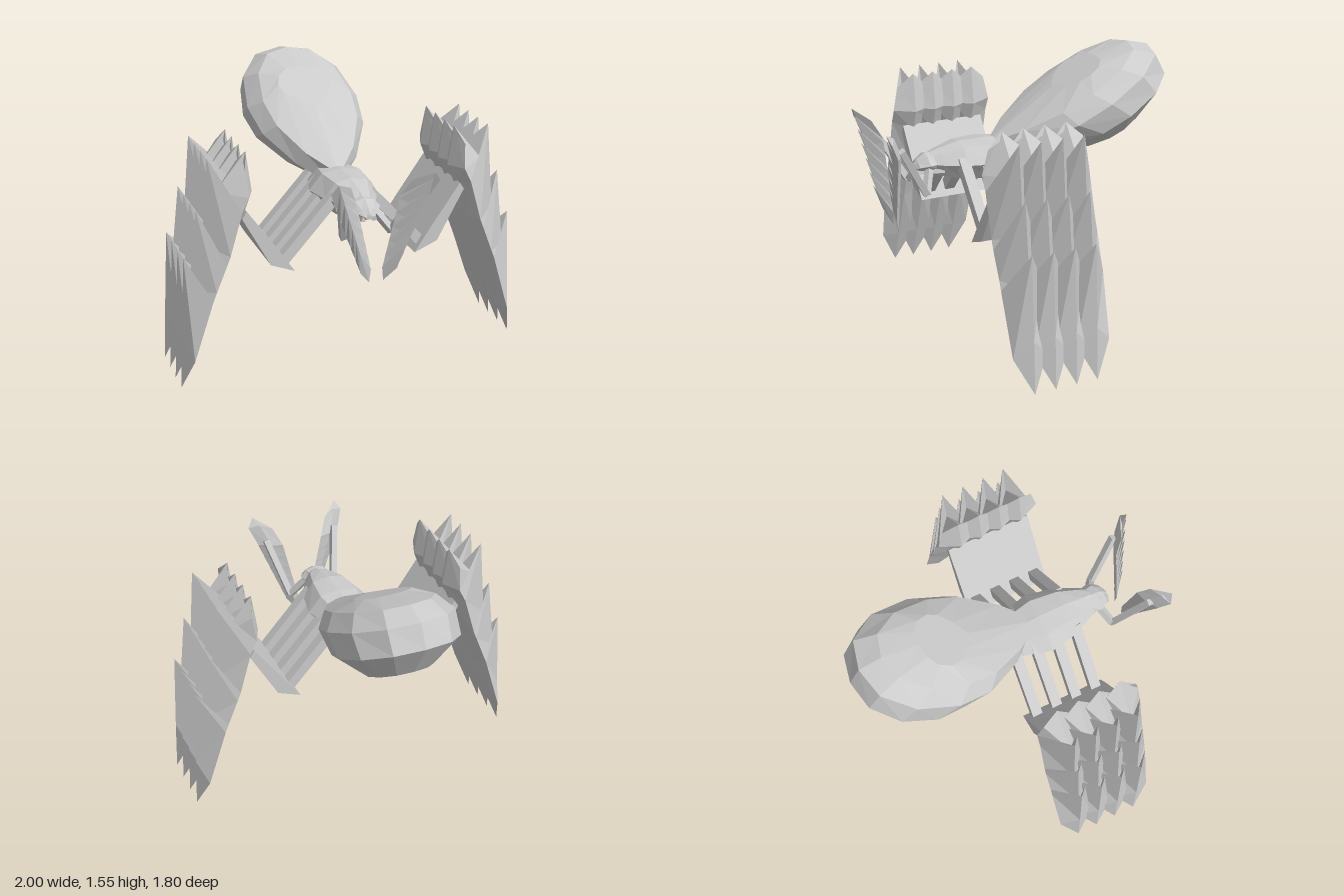
import * as THREE from 'three';

const material = new THREE.MeshStandardMaterial({ color: 0xcccccc, flatShading: true, side: THREE.DoubleSide });

function add(parent, name, geometry) {
  const mesh = new THREE.Mesh(geometry, material);
  mesh.name = name;
  parent.add(mesh);
  return mesh;
}

// Closed skin over rings of equal point count, always wound outwards.
function loft(rings) {
  const n = rings[0].length, tris = [];
  for (let i = 0; i < rings.length - 1; i++) {
    for (let j = 0; j < n; j++) {
      const k = (j + 1) % n;
      const a = rings[i][j], b = rings[i][k], c = rings[i + 1][k], d = rings[i + 1][j];
      tris.push([a, b, c], [a, c, d]);
    }
  }
  const centre = (r) => r.reduce((s, p) => s.add(p), new THREE.Vector3()).divideScalar(n);
  const first = rings[0], last = rings[rings.length - 1];
  const c0 = centre(first), c1 = centre(last);
  for (let j = 0; j < n; j++) {
    const k = (j + 1) % n;
    tris.push([c0, first[k], first[j]], [c1, last[j], last[k]]);
  }
  let volume = 0;
  const cross = new THREE.Vector3();
  for (const [a, b, c] of tris) volume += a.dot(cross.crossVectors(b, c));
  const points = tris.flatMap(([a, b, c]) => (volume < 0 ? [a, c, b] : [a, b, c]));
  const geometry = new THREE.BufferGeometry().setFromPoints(points);
  geometry.computeVertexNormals();
  return geometry;
}

// Square beam between two points.
function beam(parent, name, from, to, width) {
  const a = new THREE.Vector3(...from), b = new THREE.Vector3(...to);
  const mesh = add(parent, name, new THREE.BoxGeometry(width, a.distanceTo(b), width));
  mesh.position.copy(a).add(b).multiplyScalar(0.5);
  const dir = b.sub(a).normalize();
  mesh.quaternion.setFromUnitVectors(new THREE.Vector3(0, 1, 0), dir);
  return mesh;
}

// Toothed blade: each row has inner spine, margin with half width, and toothed ridge.
// place(a, y, w) maps depth, height and width to a point.
function blade(rows, place) {
  return loft(rows.map(([ia, iy, ma, my, w, oa, oy]) => [
    place(ia, iy, 0), place(ma, my, w), place(oa, oy, 0), place(ma, my, -w),
  ]));
}

// Tilted drop-shaped abdomen, stacked from flat drop outlines.
function abdomen() {
  const outline = [[0, 1], [0.5, 0.96], [0.87, 0.81], [1, 0.59], [0.91, 0.4], [0.53, 0.18], [0, 0],
    [-0.53, 0.18], [-0.91, 0.4], [-1, 0.59], [-0.87, 0.81], [-0.5, 0.96]];
  // height, start, end, half width
  const levels = [[0.656, 0.76, 1.25, 0.18], [0.79, 0.5, 1.47, 0.33], [0.931, 0.32, 1.475, 0.34],
    [1.02, 0.34, 1.375, 0.27], [1.066, 0.84, 1.16, 0.16]];
  return loft(levels.map(([v, u0, u1, w]) => outline.map(([x, t]) => {
    const u = u0 + (u1 - u0) * t;
    return new THREE.Vector3(x * w, 0.477 * u + 0.879 * v, -0.879 * u + 0.477 * v);
  })));
}

// Body section along z: [z, half width, bottom, top]
function bodyLoft(sections) {
  return loft(sections.map(([z, w, y0, y1]) => {
    const ym = (y0 + y1) / 2;
    return [[w, ym], [w * 0.6, y1 - 0.015], [0, y1], [-w * 0.6, y1 - 0.015],
      [-w, ym], [-w * 0.55, y0], [0, y0], [w * 0.55, y0]].map(([x, y]) => new THREE.Vector3(x, y, z));
  }));
}

const LEG_ROWS = [
  [1, 0, 1, 0, 0, 1, 0],
  [0.923, 0.2, 0.94, 0.2, 0.1, 0.985, 0.3],
  [0.806, 0.5, 0.83, 0.55, 0.115, 0.957, 0.775],
  [0.787, 0.55, 0.81, 0.6, 0.115, 0.935, 0.58],
  [0.721, 0.72, 0.75, 0.75, 0.12, 0.88, 1.04],
  [0.698, 0.78, 0.73, 0.8, 0.12, 0.855, 0.84],
  [0.621, 0.98, 0.66, 1.04, 0.12, 0.81, 1.325],
  [0.57, 1.11, 0.62, 1.12, 0.12, 0.77, 1.13],
  [0.6, 1.335, 0.63, 1.255, 0.09, 0.602, 1.335],
];

function leg(s, z) {
  const group = new THREE.Group();
  group.name = s > 0 ? 'leftLeg' : 'rightLeg';
  beam(group, 'upperLeg', [s * 0.1, 1.02, 0], [s * 0.4, 0.69, 0], 0.06);
  // Knee plate
  const shape = new THREE.Shape([[0.355, 0.635], [0.49, 0.69], [0.645, 0.98], [0.62, 1.02], [0.41, 0.72]]
    .map(([x, y]) => new THREE.Vector2(s * x, y)));
  add(group, 'knee', new THREE.ExtrudeGeometry(shape, { depth: 0.13, bevelEnabled: false }).translate(0, 0, -0.065));
  add(group, 'legBlade', blade(LEG_ROWS, (a, y, w) => new THREE.Vector3(s * a, y, w)));
  group.position.z = z;
  return group;
}

function feeler(s) {
  const group = new THREE.Group();
  group.name = s > 0 ? 'leftFeeler' : 'rightFeeler';
  beam(group, 'feelerBase', [s * 0.06, 0.98, 0.56], [s * 0.14, 0.87, 0.61], 0.035);
  beam(group, 'feelerArm', [s * 0.14, 0.87, 0.61], [s * 0.22, 1.17, 0.78], 0.035);
  // Blade with six forward teeth
  const rows = [[0.74, 0.65, 0.74, 0.65, 0, 0.74, 0.65]];
  for (let i = 0; i < 6; i++) {
    const t = (i + 1) / 6.5, y = 0.65 + 0.5 * t, w = 0.03 + 0.04 * t;
    const back = 0.74 + 0.03 * t, mid = back + 0.015;
    rows.push([back, y, mid, y, w, 0.81 + 0.07 * t, y + 0.14]);
    rows.push([back, y + 0.02, mid, y + 0.02, w, 0.78 + 0.05 * t, y + 0.05]);
  }
  rows.push([0.83, 1.25, 0.83, 1.23, 0.065, 0.88, 1.285]);
  add(group, 'feelerBlade', blade(rows, (a, y, w) => new THREE.Vector3(
    s * (0.04 + (y - 0.65) * 0.29 + (a - 0.74) * 0.3 + w), y, a + w * 0.45)));
  return group;
}

export function createModel() {
  const model = new THREE.Group();
  model.name = 'armouredSpider';
  add(model, 'abdomen', abdomen());
  add(model, 'thorax', bodyLoft([[-0.06, 0.06, 0.95, 1.04], [0.04, 0.14, 0.91, 1.08], [0.2, 0.185, 0.89, 1.1],
    [0.36, 0.155, 0.9, 1.1], [0.48, 0.1, 0.93, 1.075], [0.57, 0.05, 0.97, 1.05]]));
  add(model, 'head', bodyLoft([[0.48, 0.07, 0.95, 1.06], [0.56, 0.09, 0.955, 1.06], [0.61, 0.06, 0.96, 1.03],
    [0.637, 0.025, 0.965, 0.995]]));
  for (const s of [1, -1]) {
    beam(model, 'jaw', [s * 0.07, 0.965, 0.47], [s * 0.03, 0.965, 0.63], 0.025);
    for (let i = 0; i < 4; i++) model.add(leg(s, 0.125 * i));
    model.add(feeler(s));
  }
  return model;
}
